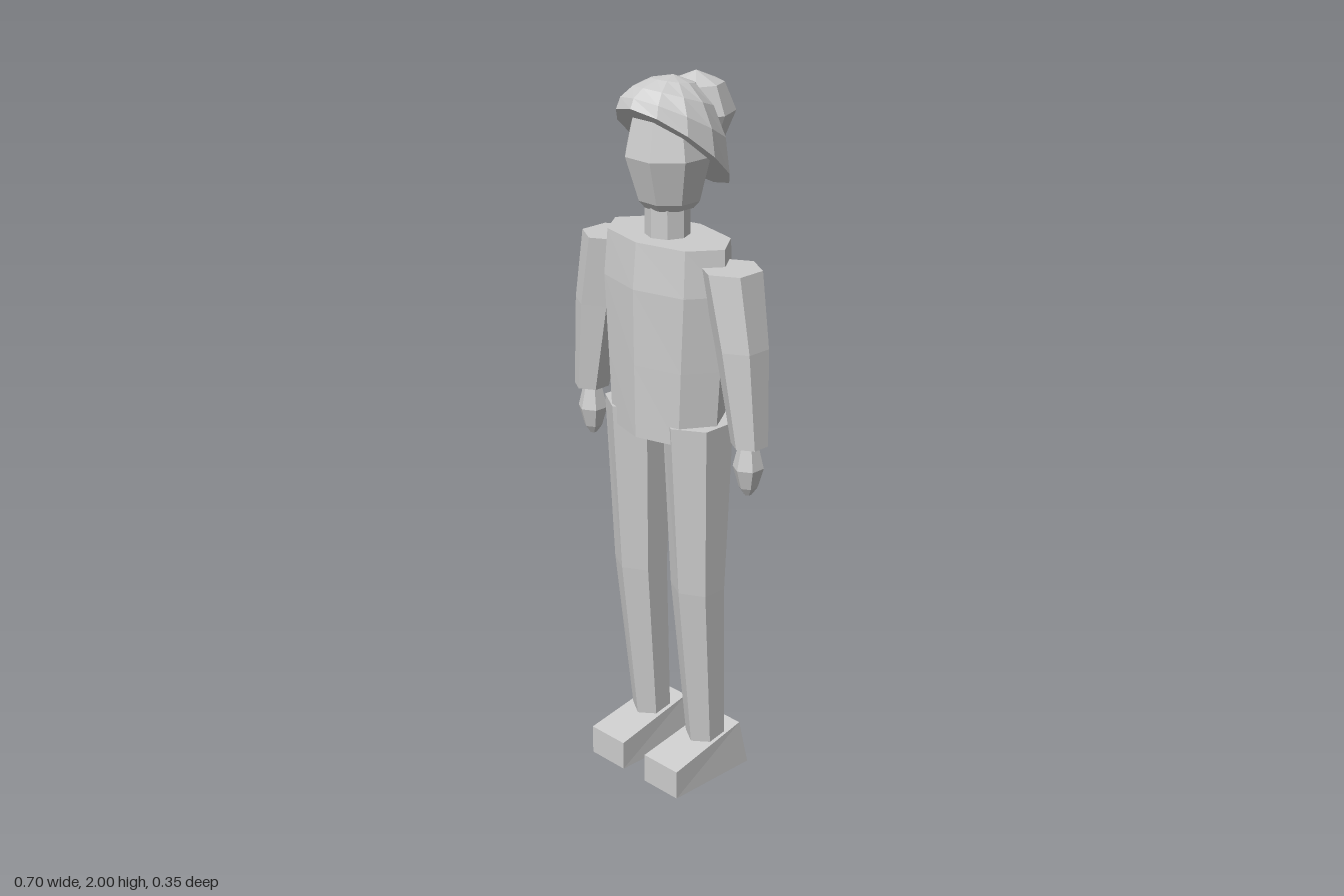
import * as THREE from 'three';

const grey = new THREE.MeshStandardMaterial({ color: 0xcccccc });
grey.name = 'plain grey';

// One elliptical ring of n points around (x, y, z)
function ring(n, phase, [x, y, z, rx, rz = rx]) {
  return Array.from({ length: n }, (_, i) => {
    const a = phase + (i / n) * Math.PI * 2;
    return new THREE.Vector3(x + rx * Math.cos(a), y, z + rz * Math.sin(a));
  });
}

// Flat-shaded closed skin over rings listed from bottom to top
function loft(rings, apex) {
  const n = rings[0].length, tris = [];
  const centre = r => r.reduce((s, p) => s.add(p), new THREE.Vector3()).divideScalar(n);
  const last = rings[rings.length - 1];
  const low = centre(rings[0]), high = apex || centre(last);
  for (let i = 0; i < n; i++) {
    const j = (i + 1) % n;
    for (let k = 0; k < rings.length - 1; k++) {
      const a = rings[k][i], b = rings[k][j], c = rings[k + 1][j], d = rings[k + 1][i];
      tris.push(a, d, c, a, c, b);
    }
    tris.push(low, rings[0][i], rings[0][j], high, last[j], last[i]);
  }
  const g = new THREE.BufferGeometry().setFromPoints(tris);
  g.computeVertexNormals();
  return g;
}

const tube = (n, phase, sections) => loft(sections.map(s => ring(n, phase, s)));

export function createModel() {
  const model = new THREE.Group();
  model.name = 'figure';
  const add = (name, geometry) => {
    const m = new THREE.Mesh(geometry, grey);
    m.name = name;
    model.add(m);
    return m;
  };

  // Torso, neck and head
  add('torso', tube(8, 0, [
    [0, 1.045, 0.033, 0.18, 0.122], [0, 1.25, 0.033, 0.195, 0.125],
    [0, 1.46, 0.033, 0.212, 0.127], [0, 1.585, 0.03, 0.205, 0.118],
  ]));
  add('neck', tube(8, 0, [[0, 1.55, 0.034, 0.06], [0, 1.68, 0.034, 0.06]]));
  add('head', tube(8, Math.PI / 8, [
    [0, 1.66, 0.027, 0.068], [0, 1.68, 0.027, 0.085], [0, 1.8, 0.032, 0.118],
    [0, 1.92, 0.032, 0.092], [0, 1.95, 0.03, 0.05],
  ]));

  // Cap: half dome whose rim slopes down towards the back
  const R = 0.15, cz = 0.013, top = 2.0;
  const capRings = [0, 1, 2, 3].map(k => {
    const t = k * Math.PI / 8;
    return ring(12, 0, [0, 0, cz, R * Math.cos(t)]).map(p => {
      const rim = 1.812 + 0.82 * (p.z - cz) / Math.cos(t);
      p.y = rim + (top - rim) * Math.sin(t);
      return p;
    });
  });
  add('cap', loft(capRings, new THREE.Vector3(0, top, cz)));

  // Ball at the back of the cap
  const ball = new THREE.SphereGeometry(0.104, 8, 4).toNonIndexed();
  ball.computeVertexNormals();
  add('capBall', ball).position.set(0, 1.895, -0.069);

  // Limbs, mirrored left and right
  for (const [side, s] of [['left', 1], ['right', -1]]) {
    add(side + 'Arm', tube(6, Math.PI / 2, [
      [s * 0.305, 1.08, 0.035, 0.05], [s * 0.268, 1.34, 0.03, 0.072], [s * 0.224, 1.54, 0.026, 0.083],
    ]));
    add(side + 'Hand', tube(6, Math.PI / 2, [
      [s * 0.302, 0.937, 0.035, 0.01], [s * 0.302, 0.96, 0.035, 0.026],
      [s * 0.302, 1.015, 0.035, 0.042], [s * 0.302, 1.09, 0.035, 0.024],
    ]));
    add(side + 'Leg', tube(6, Math.PI / 2, [
      [s * 0.11, 0.11, -0.004, 0.056], [s * 0.113, 0.6, 0.032, 0.078, 0.073],
      [s * 0.113, 1.095, 0.034, 0.096, 0.1],
    ]));

    // Wedge shoe: low toe, taller and narrower heel
    const shoe = new THREE.BoxGeometry(0.13, 1, 1).toNonIndexed();
    const p = shoe.attributes.position;
    for (let i = 0; i < p.count; i++) {
      const up = p.getY(i) > 0, front = p.getZ(i) > 0;
      if (up && !front) p.setX(i, p.getX(i) * 0.9);
      p.setY(i, up ? (front ? 0.085 : 0.137) : 0);
      p.setZ(i, front ? 0.172 : up ? -0.086 : -0.114);
    }
    shoe.computeVertexNormals();
    add(side + 'Shoe', shoe).position.x = s * 0.109;
  }
  return model;
}
